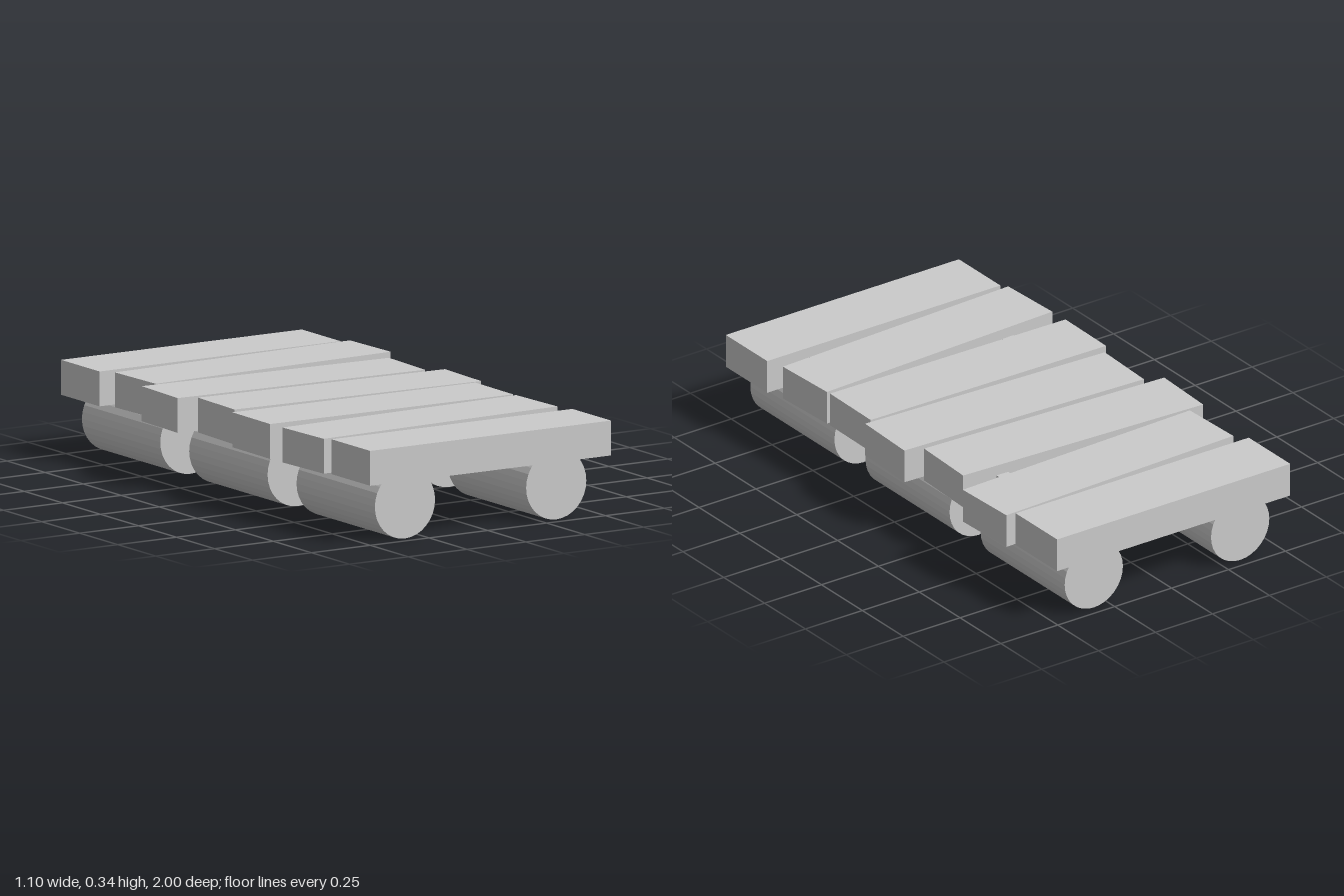
import * as THREE from 'three';

export function createModel() {
  const model = new THREE.Group();
  model.name = 'barrelRaft';
  const material = new THREE.MeshStandardMaterial({ color: 0xcccccc, flatShading: true });

  const add = (name, geometry, x, y, z, turn = 0) => {
    const mesh = new THREE.Mesh(geometry, material);
    mesh.name = name;
    mesh.position.set(x, y, z);
    mesh.rotation.y = turn;
    model.add(mesh);
  };

  // Floats: two rows of three barrels lying along z
  const barrel = new THREE.CylinderGeometry(0.128, 0.128, 0.515, 32).rotateX(Math.PI / 2);
  for (const x of [-0.328, 0.315])
    for (const z of [-0.705, 0, 0.705]) add('barrel', barrel, x, 0.128, z);

  // Long battens running through the deck
  const batten = new THREE.BoxGeometry(0.05, 0.05, 1.8);
  for (const x of [-0.328, -0.009, 0.315]) add('batten', batten, x, 0.28, 0);

  // Deck planks, unevenly laid: [x, z, turn]
  const plank = new THREE.BoxGeometry(1.024, 0.127, 0.254);
  const layout = [
    [-0.009, -0.873, 0],
    [0.032, -0.594, 0.036],
    [-0.035, -0.29, -0.043],
    [0.021, -0.006, -0.04],
    [-0.019, 0.273, -0.014],
    [-0.013, 0.574, 0.045],
    [0.012, 0.873, 0],
  ];
  for (const [x, z, turn] of layout) add('plank', plank, x, 0.28, z, turn);

  return model;
}
